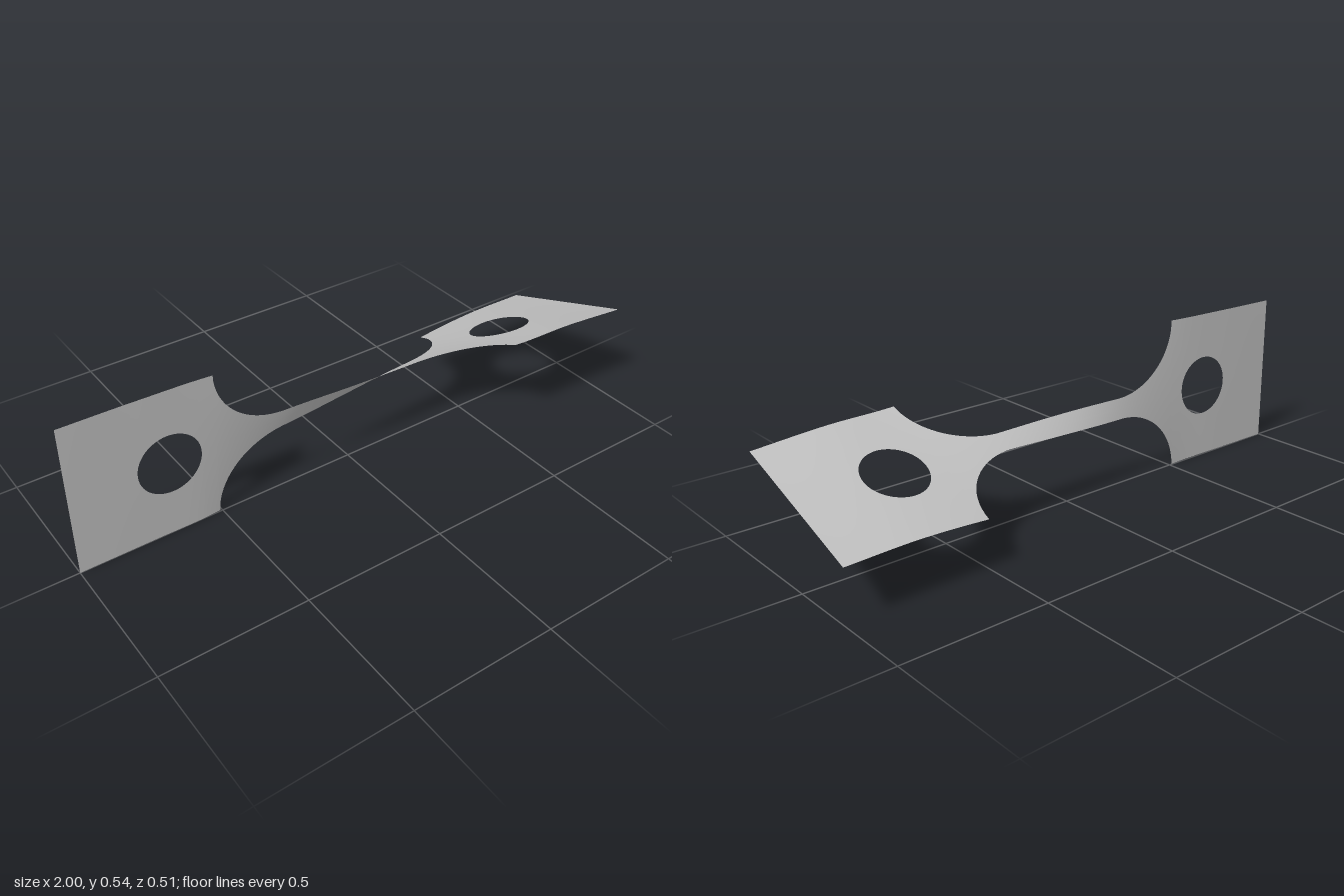
import * as THREE from 'three';
import { mergeVertices } from 'three/addons/utils/BufferGeometryUtils.js';

const PLATE = 0.27, NECK = 0.036;          // half widths
const CORNER = 0.508, FILLET_END = 0.25;   // fillet start and end along x
const HOLE_X = 0.668, HOLE_R = 0.108;

// Twist (degrees), axis height and axis depth at nine even stations along x
const stations = [
  [0, 0.27, 0], [0.7, 0.271, 0.004], [2.7, 0.272, 0.01],
  [13, 0.2735, 0.0085], [38, 0.278, 0.0085], [58, 0.282, 0.005],
  [65.8, 0.281, 0.0045], [68.7, 0.285, 0.002], [70.7, 0.273, 0.0015],
];
const spine = new THREE.CatmullRomCurve3(
  stations.map((s) => new THREE.Vector3(...s)), false, 'catmullrom', 0.5);

// Half width of the strip: square plates, rounded shoulders, slim neck
function halfWidth(x) {
  const a = Math.abs(x);
  if (a >= CORNER) return PLATE;
  if (a <= FILLET_END) return NECK;
  const t = (a - FILLET_END) / (CORNER - FILLET_END);
  return PLATE - (PLATE - NECK) * Math.sqrt(1 - t * t);
}

// Half height of the round hole
function halfHole(x) {
  const d = Math.abs(x) - HOLE_X;
  return Math.sqrt(Math.max(0, HOLE_R * HOLE_R - d * d));
}

// Columns bunched towards the ends of each span, where the curves are steep
function columns() {
  const marks = [0, FILLET_END, CORNER, HOLE_X - HOLE_R, HOLE_X + HOLE_R, 1];
  const half = [];
  for (let i = 0; i < marks.length - 1; i++) {
    const n = [16, 24, 4, 40, 12][i];
    for (let k = 0; k < n; k++) {
      const t = (1 - Math.cos((Math.PI * k) / n)) / 2;
      half.push(marks[i] + (marks[i + 1] - marks[i]) * t);
    }
  }
  half.push(1);
  return [...half.slice(1).reverse().map((x) => -x), ...half];
}

// Point on the twisted strip at offset s across it
function place(x, s) {
  const p = spine.getPoint((x + 1) / 2);
  const a = THREE.MathUtils.degToRad(p.x);
  return [x, p.y + s * Math.cos(a), p.z + s * Math.sin(a)];
}

function stripGeometry() {
  const xs = columns(), rows = 10, pos = [], index = [];
  for (const side of [-1, 1]) {
    const base = pos.length / 3;
    for (const x of xs) {
      const outer = halfWidth(x), inner = halfHole(x);
      for (let j = 0; j <= rows; j++) {
        pos.push(...place(x, side * (inner + (outer - inner) * (j / rows))));
      }
    }
    for (let i = 0; i < xs.length - 1; i++) {
      for (let j = 0; j < rows; j++) {
        const a = base + i * (rows + 1) + j, b = a + rows + 1;
        if (side > 0) index.push(a, b, b + 1, a, b + 1, a + 1);
        else index.push(a, b + 1, b, a, a + 1, b + 1);
      }
    }
  }
  const raw = new THREE.BufferGeometry();
  raw.setAttribute('position', new THREE.Float32BufferAttribute(pos, 3));
  raw.setIndex(index);
  const geometry = mergeVertices(raw, 1e-5);
  geometry.computeVertexNormals();
  return geometry;
}

export function createModel() {
  const group = new THREE.Group();
  group.name = 'twistedLink';
  const steel = new THREE.MeshStandardMaterial({ color: 0xc0c0c0, side: THREE.DoubleSide });
  steel.name = 'light grey steel';

  // One sheet: two pierced plates joined by a twisted neck
  const strip = new THREE.Mesh(stripGeometry(), steel);
  strip.name = 'twistedStrip';
  group.add(strip);
  return group;
}
